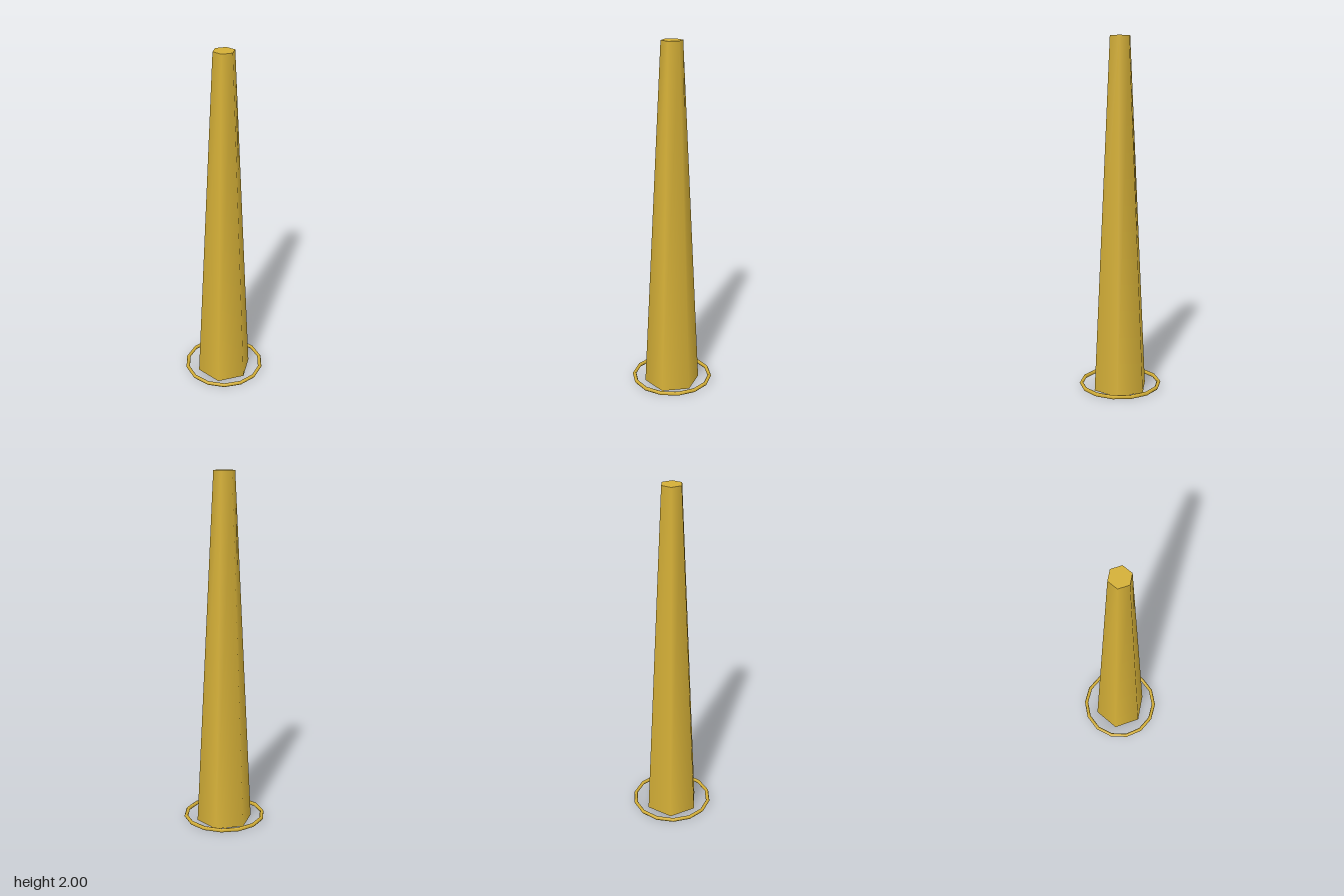
import * as THREE from 'three';

export function createModel() {
  const group = new THREE.Group();
  const gold = new THREE.MeshStandardMaterial({ color: 0xd4af37 });
  gold.name = 'gold';

  // Tapered six-sided shaft with flat caps and smooth sides
  const shaft = new THREE.Mesh(new THREE.CylinderGeometry(0.06, 0.16, 2, 6), gold);
  shaft.name = 'shaft';
  shaft.position.y = 1;
  group.add(shaft);

  // Thin ring lying flat around the foot, not touching the shaft
  const ring = new THREE.Mesh(new THREE.TorusGeometry(0.224, 0.011, 6, 14), gold);
  ring.name = 'baseRing';
  ring.rotation.x = Math.PI / 2;
  ring.position.y = 0.025;
  group.add(ring);

  return group;
}
